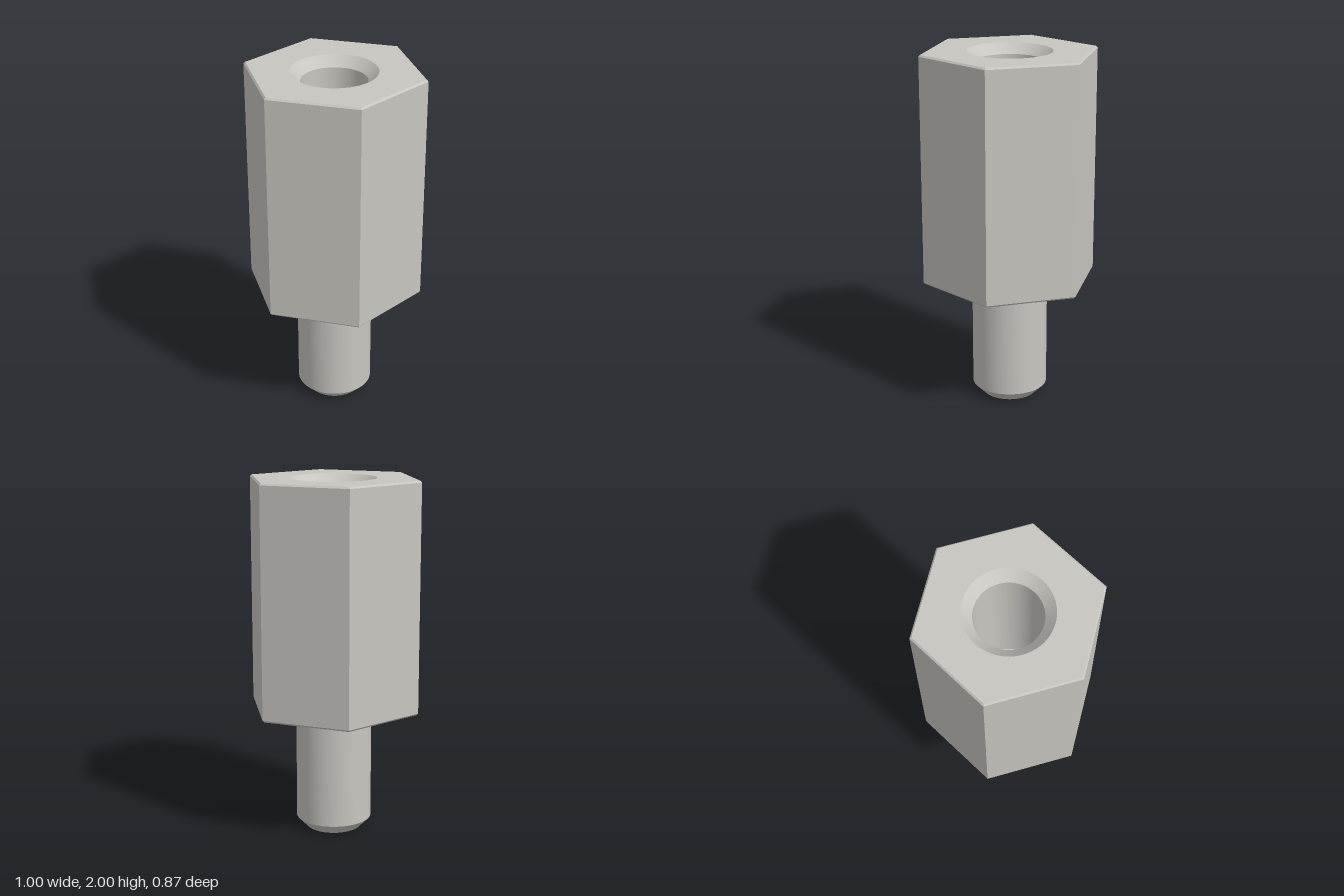
import * as THREE from 'three';
import { toCreasedNormals } from 'three/addons/utils/BufferGeometryUtils.js';

const steel = new THREE.MeshStandardMaterial({ color: 0xc8c6c0 });
steel.name = 'brushed steel';

const HEX = 0.5, BASE = 0.705, TOP = 2, CHAMFER = 0.01;
const STUD = 0.213, BORE = 0.18, SINK = 0.235;

// Revolve a [radius, height] profile, keeping edges sharper than the crease
function turned(name, profile, sides, crease) {
  const points = profile.map(([r, y]) => new THREE.Vector2(r, y));
  const lathe = new THREE.LatheGeometry(points, sides, Math.PI / 2);
  const mesh = new THREE.Mesh(toCreasedNormals(lathe, crease), steel);
  mesh.name = name;
  return mesh;
}

export function createModel() {
  const group = new THREE.Group();
  group.name = 'hexStandoff';

  // Six-sided body: underside, bottom chamfer, flats, top chamfer
  group.add(turned('hexBody', [
    [STUD - 0.01, BASE], [HEX - CHAMFER, BASE], [HEX, BASE + CHAMFER],
    [HEX, TOP - CHAMFER], [HEX - CHAMFER, TOP],
  ], 6, 0.1));

  // Top face with a round opening
  const face = new THREE.Shape();
  for (let i = 0; i < 6; i++) {
    const a = i * Math.PI / 3, r = HEX - CHAMFER;
    face[i ? 'lineTo' : 'moveTo'](r * Math.cos(a), r * Math.sin(a));
  }
  face.closePath();
  face.holes.push(new THREE.Path().absarc(0, 0, SINK, 0, Math.PI * 2, true));
  const topGeometry = new THREE.ShapeGeometry(face, 32);
  topGeometry.rotateX(-Math.PI / 2).translate(0, TOP, 0);
  const topFace = new THREE.Mesh(topGeometry, steel);
  topFace.name = 'topFace';
  group.add(topFace);

  // Countersunk blind bore
  group.add(turned('bore', [
    [SINK, TOP], [BORE, TOP - (SINK - BORE)], [BORE, 1.05], [0, 1.05],
  ], 64, 0.5));

  // Stud with a chamfered tip
  group.add(turned('stud', [
    [0, 0], [0.155, 0], [STUD, 0.06], [STUD, BASE + 0.01],
  ], 64, 0.5));

  return group;
}
